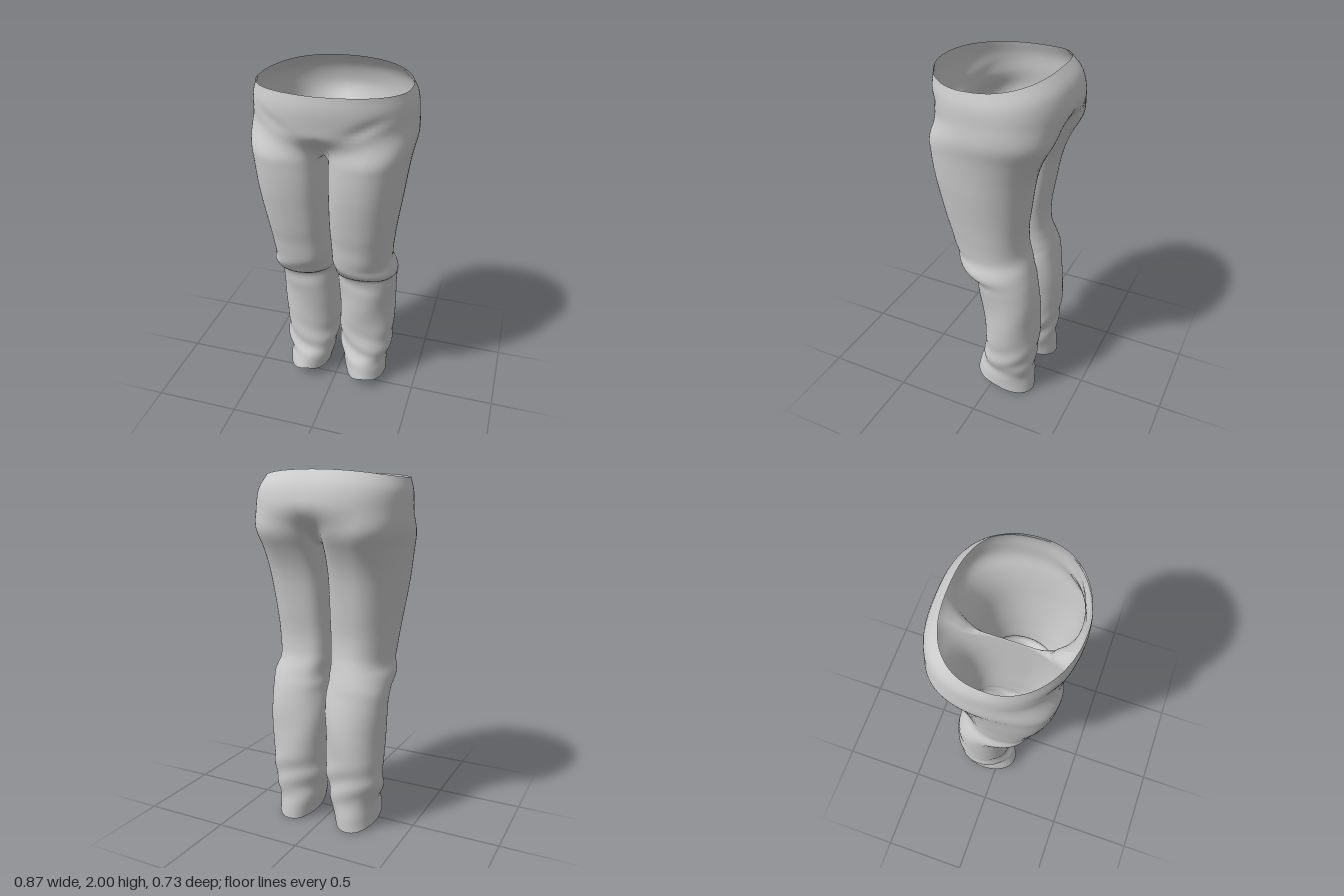
import * as THREE from 'three';
import { mergeVertices } from 'three/addons/utils/BufferGeometryUtils.js';

// Silhouette stations: height, outer x, inner x, front z, back z
const STATIONS = [
  [1.97, 0.397, 0, 0.364, -0.28], [1.9, 0.42, 0, 0.37, -0.342],
  [1.8, 0.427, 0, 0.358, -0.367], [1.7, 0.432, 0, 0.343, -0.348],
  [1.6, 0.414, 0, 0.336, -0.287], [1.5, 0.4, 0, 0.33, -0.242],
  [1.4, 0.388, 0, 0.318, -0.215], [1.2, 0.36, 0, 0.28, -0.185],
  [1.1, 0.348, 0.001, 0.255, -0.175], [1.0, 0.336, 0.002, 0.237, -0.18],
  [0.95, 0.336, 0.003, 0.222, -0.193], [0.9, 0.352, 0.005, 0.2, -0.21],
  [0.86, 0.36, 0.008, 0.165, -0.222], [0.82, 0.356, 0.007, 0.1, -0.232],
  [0.7, 0.349, 0.003, 0.08, -0.255], [0.6, 0.344, 0.003, 0.068, -0.264],
  [0.4, 0.34, 0.008, 0.052, -0.264], [0.3, 0.336, 0.014, 0.053, -0.255],
  [0.22, 0.33, 0.022, 0.064, -0.247], [0.16, 0.306, 0.035, 0.085, -0.245],
  [0.1, 0.307, 0.05, 0.1, -0.247], [0.04, 0.308, 0.065, 0.112, -0.25],
];
const TOP = 1.97, CROTCH = 1.63, HEM = 0.04;
const HIP_ROWS = 20, LEG_ROWS = 90, OUTER = 48, INNER = 14;

const smooth = THREE.MathUtils.smoothstep;
const lerp = THREE.MathUtils.lerp;
const bump = (v, centre, width) => Math.exp(-(((v - centre) / width) ** 2));
const power = (v, n) => Math.sign(v) * Math.abs(v) ** (2 / n);

// Smooth Hermite interpolation of the stations
function profile(y) {
  const S = STATIONS, last = S.length - 1;
  let i = 0;
  while (i < last - 1 && y < S[i + 1][0]) i++;
  const p = S[i], q = S[i + 1], o = S[Math.max(i - 1, 0)], r = S[Math.min(i + 2, last)];
  const h = q[0] - p[0], t = (y - p[0]) / h;
  return [1, 2, 3, 4].map((k) => {
    const m0 = ((q[k] - o[k]) / (q[0] - o[0])) * h, m1 = ((r[k] - p[k]) / (r[0] - p[0])) * h;
    return (2 * t ** 3 - 3 * t * t + 1) * p[k] + (t ** 3 - 2 * t * t + t) * m0
      + (3 * t * t - 2 * t ** 3) * q[k] + (t ** 3 - t * t) * m1;
  });
}

// Point on one half: columns run from the front seam round the outside to the
// back seam, then along the inner leg to the front again
function clothPoint(side, y, j) {
  const [outer, inner, front, back] = profile(y);
  const onOuter = j <= OUTER;
  const t = Math.min(j / OUTER, 1);
  const theta = THREE.MathUtils.degToRad(
    onOuter ? 150 - 300 * t : -150 - (60 * (j - OUTER)) / INNER);
  const cz = (front + back) / 2, b = (front - back) / 2;

  // Leg outline: round outside, squarer towards the inner thigh, most at the back
  const s = Math.sin(theta), c = Math.cos(theta);
  const a = (outer - inner) / 2;
  const thigh = smooth(y, 0.5, 1.3);
  const square = 2.1
    + thigh * smooth(-c, -0.2, 0.6) * lerp(0.6, 1.1, smooth(-s, -0.4, 0.4))
    + thigh * smooth(c, 0, 0.6) * smooth(s, 0, 0.6) * (side > 0 ? 0.1 : 0.35);
  let x = (outer + inner) / 2 + a * power(c, square);
  let z = cz + b * power(s, square);

  // Hip outline: half of one oval, blending into the leg near the crotch
  if (onOuter) {
    const phi = Math.PI * (0.5 - t);
    const n = Math.sin(phi) > 0 ? lerp(2.15, 2, smooth(y, 1.8, TOP)) : 2.5;
    const w = 1 - smooth(y, CROTCH - 0.02, lerp(1.78, 1.83, t));
    x = lerp(outer * power(Math.cos(phi), n), x, w);
    z = lerp(cz + b * power(Math.sin(phi), n), z, w);
  }

  // Slanted folds around knee, shin and ankle, and soft drape on the thigh
  const face = 0.5 + 0.5 * s;
  const free = 1 - smooth(y, 1.3, 1.55);
  const fold = free * (
    0.005 * bump(y, 0.87, 0.09) * (0.2 + face) * Math.sin(48 * y + 2.5 * c + side)
    + 0.006 * bump(y, 0.25, 0.12) * Math.sin(40 * y + 2 * s + 3 * side * c)
    + 0.004 * Math.sin(14 * y + 3 * theta + side) * bump(y, 0.6, 0.45));
  x += fold * c;
  z += fold * s;

  // Pocket crease, slanting up and outwards on the front of the hip
  if (onOuter && z > 0) {
    z -= 0.014 * bump(y, 1.77 + 0.45 * (x - 0.12), 0.025) * bump(x, 0.23, 0.09) * (side > 0 ? 1 : 0.6);
  }

  // Both halves meet on the centre seam down to the crotch
  const seam = j === 0 || j >= OUTER;
  if (y >= CROTCH - 1e-6 && seam) x = 0;
  else x = Math.max(x, 0.001);

  // Wavy waist edge, slanting hem
  const rim = smooth(y, 1.75, TOP) * (0.015 * Math.cos(2 * Math.PI * t) + 0.02 * t - 0.005);
  const ankle = 1 - smooth(y, HEM, 0.3);
  const hem = ankle * (0.215 * (z + 0.069) + 0.006 * Math.sin(5 * theta + side) * face);
  return [side * x, y + rim + hem, z];
}

// Sheet of one half: open above the crotch, a closed tube below
function addHalf(side, positions, indices) {
  const base = positions.length / 3, cols = OUTER + INNER, rows = HIP_ROWS + LEG_ROWS;
  for (let i = 0; i <= rows; i++) {
    const y = i <= HIP_ROWS
      ? lerp(TOP, CROTCH, i / HIP_ROWS)
      : lerp(CROTCH, HEM, (i - HIP_ROWS) / LEG_ROWS);
    for (let j = 0; j < cols; j++) positions.push(...clothPoint(side, y, j));
  }
  for (let i = 0; i < rows; i++) {
    const used = i < HIP_ROWS ? OUTER : cols;
    for (let j = 0; j < used; j++) {
      const k = (j + 1) % cols;
      const p = base + i * cols + j, q = base + (i + 1) * cols + j;
      const r = base + (i + 1) * cols + k, u = base + i * cols + k;
      if (side > 0) indices.push(p, q, r, p, r, u);
      else indices.push(p, r, q, p, u, r);
    }
  }
}

export function createModel() {
  const group = new THREE.Group();
  group.name = 'trousers';

  const positions = [], indices = [];
  for (const side of [1, -1]) addHalf(side, positions, indices);
  let geometry = new THREE.BufferGeometry();
  geometry.setAttribute('position', new THREE.Float32BufferAttribute(positions, 3));
  geometry.setIndex(indices);
  // Weld the centre seam so shading runs across it
  geometry = mergeVertices(geometry, 1e-5);
  geometry.computeVertexNormals();

  const cloth = new THREE.Mesh(geometry, new THREE.MeshStandardMaterial({
    color: 0xcccccc, side: THREE.DoubleSide,
  }));
  cloth.name = 'hipsAndLegs';
  group.add(cloth);
  return group;
}
